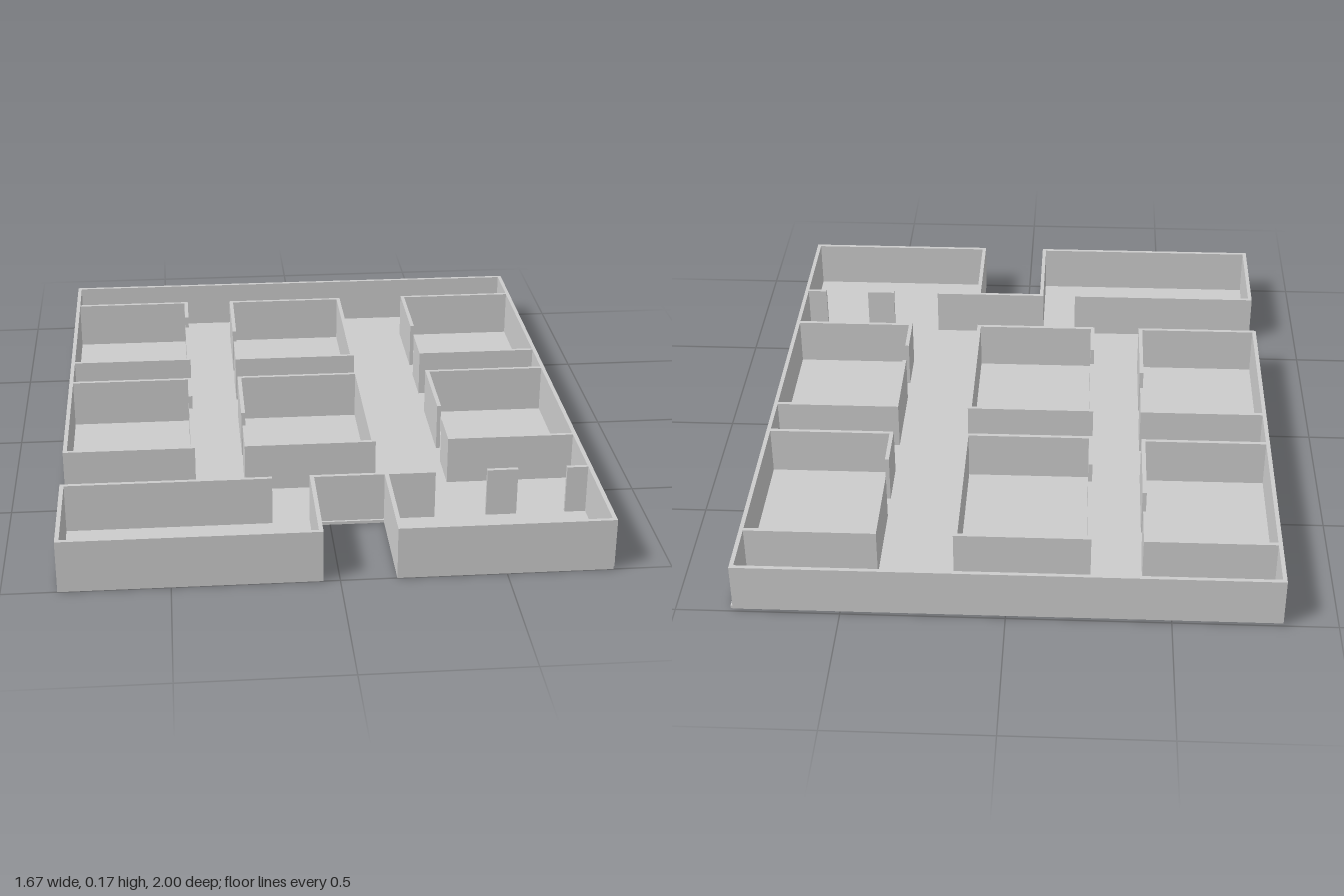
import * as THREE from 'three';

const T = 0.013;        // wall thickness
const FLOOR = 0.01;     // slab thickness
const TOP = 0.167;      // top of the walls
const material = new THREE.MeshStandardMaterial({ color: 0xcccccc, flatShading: true });

// Box wall covering a footprint rectangle
function wall(parent, name, x0, x1, z0, z1) {
  const mesh = new THREE.Mesh(new THREE.BoxGeometry(x1 - x0, TOP - FLOOR, z1 - z0), material);
  mesh.position.set((x0 + x1) / 2, (TOP + FLOOR) / 2, (z0 + z1) / 2);
  mesh.name = name;
  parent.add(mesh);
}

// Room with front and back walls, a side wall with a doorway, and an optional plain side wall
function room(parent, name, x0, x1, z0, z1, doorSide, door, plainWall) {
  const g = new THREE.Group();
  g.name = name;
  wall(g, 'roomBackWall', x0, x1, z0, z0 + T);
  wall(g, 'roomFrontWall', x0, x1, z1 - T, z1);
  const doorX = doorSide < 0 ? x0 : x1 - T;
  wall(g, 'doorWallBack', doorX, doorX + T, z0 + T, door[0]);
  wall(g, 'doorWallFront', doorX, doorX + T, door[1], z1 - T);
  if (plainWall) {
    const x = doorSide < 0 ? x1 - T : x0;
    wall(g, 'roomSideWall', x, x + T, z0 + T, z1 - T);
  }
  parent.add(g);
}

export function createModel() {
  const model = new THREE.Group();
  model.name = 'floorPlan';

  // Floor slab with the entrance notch (shape y becomes -z)
  const outline = [
    [-0.833, -0.987], [0.833, -0.987], [0.833, 0.66], [0.822, 0.66], [0.822, 1],
    [0.17, 1], [0.17, 0.66], [-0.05, 0.66], [-0.05, 1], [-0.833, 1],
  ];
  const shape = new THREE.Shape(outline.map(([x, z]) => new THREE.Vector2(x, -z)));
  const slab = new THREE.ExtrudeGeometry(shape, { depth: FLOOR, bevelEnabled: false });
  slab.rotateX(-Math.PI / 2);
  const floor = new THREE.Mesh(slab, material);
  floor.name = 'floor';
  model.add(floor);

  // Outer walls, with a side entrance gap at -x
  const outer = new THREE.Group();
  outer.name = 'outerWalls';
  const L = -0.833, R = 0.824;
  wall(outer, 'backWall', L, R, -1, -1 + T);
  wall(outer, 'rightWall', R - T, R, -1 + T, 1 - T);
  wall(outer, 'leftWall', L, L + T, -1 + T, 0.424);
  wall(outer, 'leftFrontWall', L, L + T, 0.64, 1 - T);
  wall(outer, 'frontWallLeft', L, -0.05, 1 - T, 1);
  wall(outer, 'frontWallRight', 0.17, R, 1 - T, 1);
  wall(outer, 'notchWallLeft', -0.05 - T, -0.05, 0.64 + T, 1 - T);
  wall(outer, 'notchWallRight', 0.17, 0.17 + T, 0.64 + T, 1 - T);
  model.add(outer);

  // Front partition, broken by doorways
  const partition = new THREE.Group();
  partition.name = 'frontPartition';
  for (const [x0, x1] of [[L + T, -0.18], [-0.05 - T, 0.33], [0.493, 0.59], [0.745, R - T]])
    wall(partition, 'partitionWall', x0, x1, 0.64, 0.64 + T);
  model.add(partition);

  // Two rows of three rooms
  room(model, 'leftBackRoom', L + T, -0.413, -0.823, -0.277, 1, [-0.67, -0.573], false);
  room(model, 'leftFrontRoom', L + T, -0.413, -0.12, 0.424, 1, [0.03, 0.126], false);
  for (const [row, z0, z1, door] of [['Back', -0.818, -0.267, [-0.52, -0.427]], ['Front', -0.12, 0.424, [0.176, 0.27]]]) {
    room(model, 'middle' + row + 'Room', -0.254, 0.168, z0, z1, -1, door, true);
    room(model, 'right' + row + 'Room', 0.403, R - T, z0, z1, -1, door, false);
  }
  return model;
}
